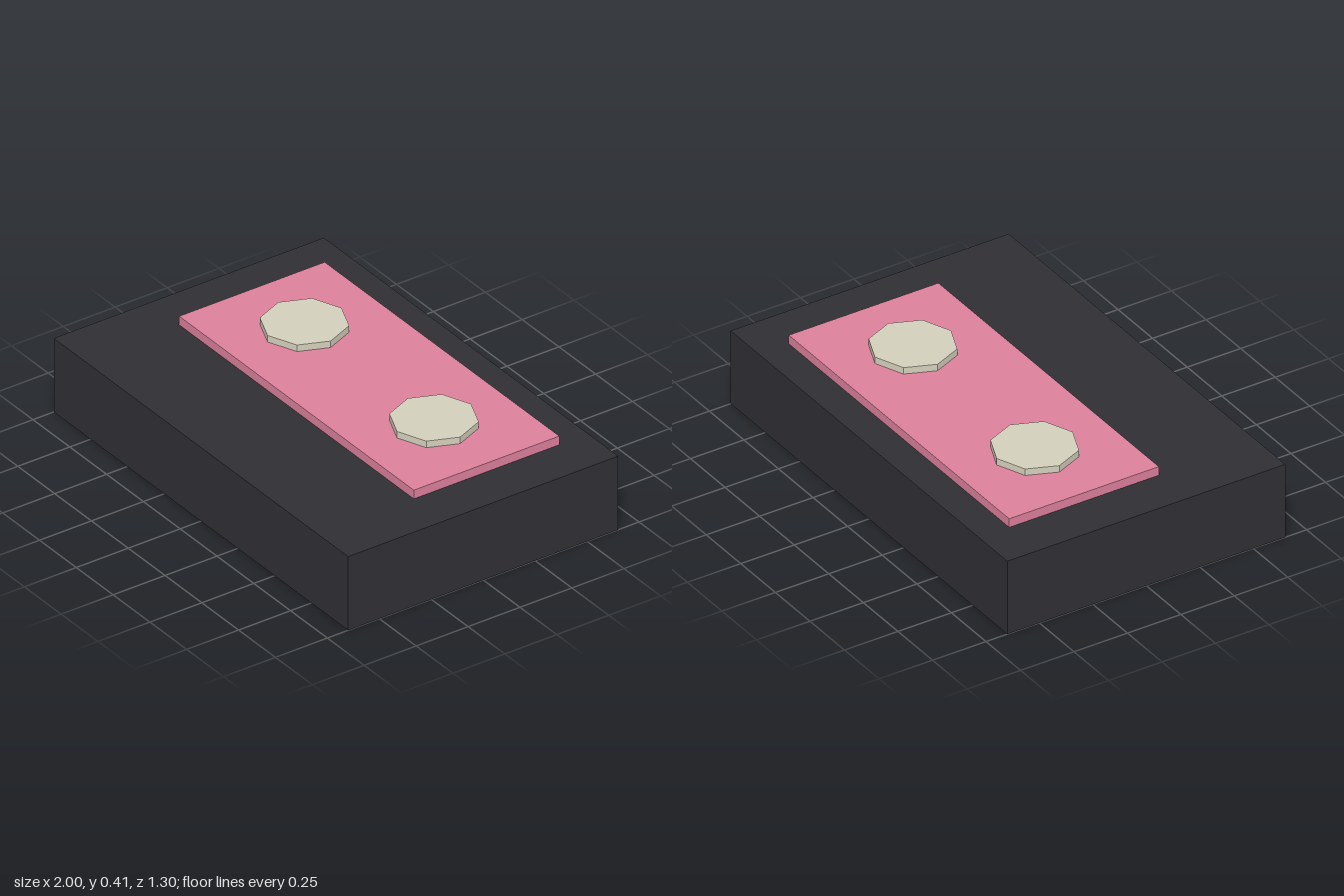
import * as THREE from 'three';

export function createModel() {
  const model = new THREE.Group();

  const add = (name, geometry, color, x, y, z) => {
    const material = new THREE.MeshStandardMaterial({ color, flatShading: true });
    const mesh = new THREE.Mesh(geometry, material);
    mesh.name = name;
    mesh.position.set(x, y, z);
    model.add(mesh);
  };

  // Dark slab body
  add('base', new THREE.BoxGeometry(2, 0.34, 1.3), 0x302f34, 0, 0.17, 0);

  // Raised pink panel, set towards the back
  add('panel', new THREE.BoxGeometry(1.594, 0.04, 0.7), 0xdc809c, 0, 0.36, -0.16);

  // Pair of octagonal discs on the panel
  for (const [name, side] of [['leftDisc', 1], ['rightDisc', -1]]) {
    add(name, new THREE.CylinderGeometry(0.178, 0.178, 0.03, 8), 0xd3cfbc, side * 0.44, 0.395, -0.16);
  }

  return model;
}
